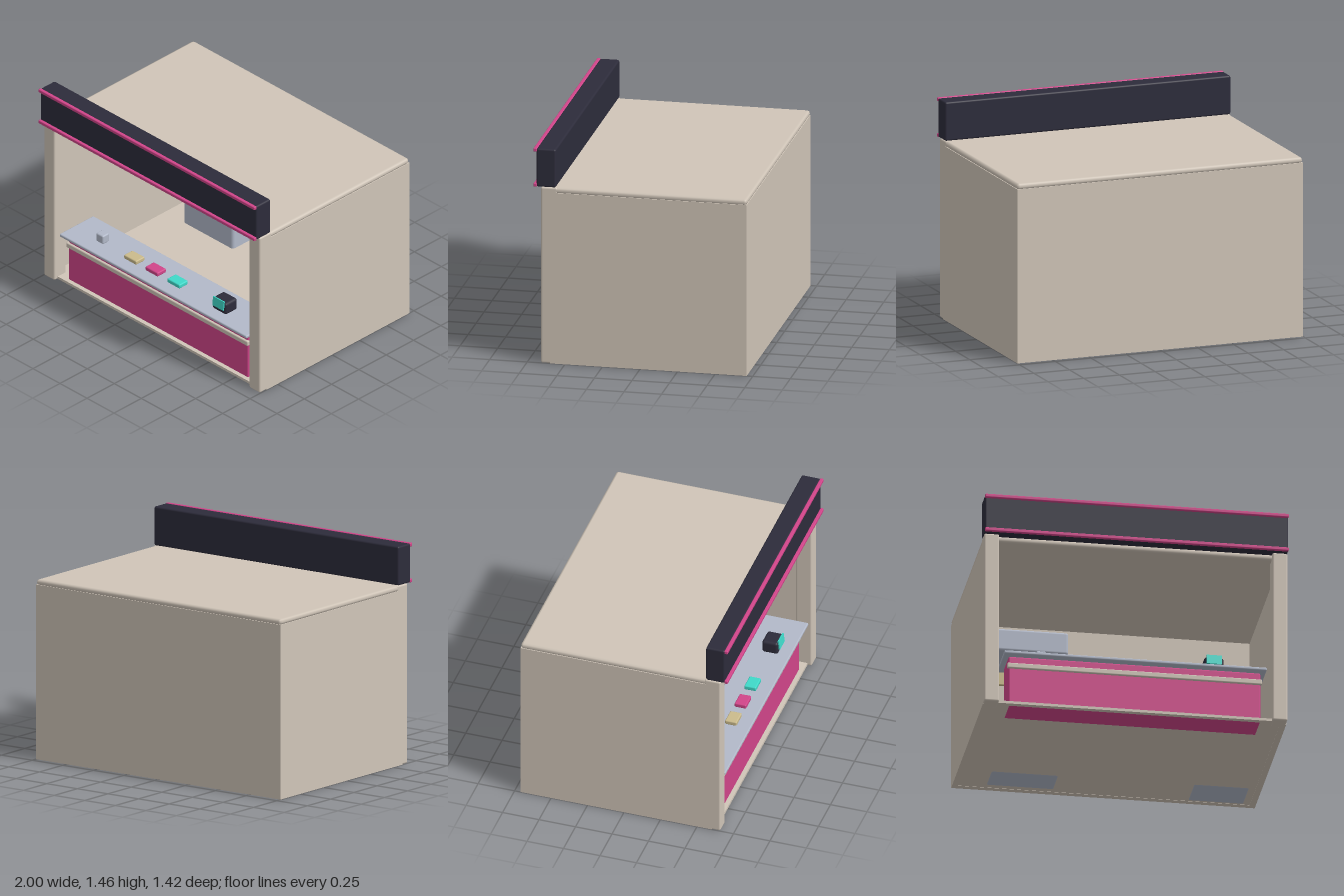
import * as THREE from 'three';
import { RoundedBoxGeometry } from 'three/addons/geometries/RoundedBoxGeometry.js';

const paint = (name, color) => {
  const m = new THREE.MeshStandardMaterial({ color });
  m.name = name;
  return m;
};

export function createModel() {
  const beige = paint('warm beige', 0xd0c5b8);
  const navy = paint('dark navy', 0x2d2c3b);
  const pink = paint('magenta pink', 0xd1458a);
  const steel = paint('pale steel', 0xb2b9c9);
  const glass = paint('cooler glass', 0x9bc9ce);
  const teal = paint('bright teal', 0x3fd9c9);
  const tan = paint('board tan', 0xcbbb8c);

  const kiosk = new THREE.Group();
  kiosk.name = 'marketKiosk';

  // Box given by its limits on each axis; r rounds the edges
  function box(name, mat, [x0, x1], [y0, y1], [z0, z1], r = 0, seg = 2) {
    const w = x1 - x0, h = y1 - y0, d = z1 - z0;
    const geo = r ? new RoundedBoxGeometry(w, h, d, seg, r) : new THREE.BoxGeometry(w, h, d);
    const mesh = new THREE.Mesh(geo, mat);
    mesh.name = name;
    mesh.position.set((x0 + x1) / 2, (y0 + y1) / 2, (z0 + z1) / 2);
    kiosk.add(mesh);
    return mesh;
  }

  // Shell
  box('floor', beige, [-0.99, 0.99], [0.002, 0.02], [-0.7, 0.63]);
  box('roof', beige, [-1, 1], [1.16, 1.2], [-0.71, 0.63], 0.019, 1);
  box('backWall', beige, [-0.96, 0.96], [0, 1.165], [-0.71, -0.67]);
  for (const s of [-1, 1]) {
    const span = (a, b) => (s > 0 ? [a, b] : [-b, -a]);
    box('sideWall', beige, span(0.96, 1), [0, 1.165], [-0.71, 0.6]);
    box('frontPillar', beige, span(0.9, 1), [0, 1.2], [0.55, 0.66], 0.012);
  }

  // Sign board with two trim rails
  box('signBoard', navy, [-1, 1], [1.2, 1.46], [0.56, 0.69], 0.012);
  for (const y of [1.198, 1.438]) {
    box('signTrim', pink, [-1, 1], [y, y + 0.024], [0.686, 0.71], 0.006);
  }

  // Serving counter
  box('counterBody', pink, [-0.83, 0.83], [0, 0.355], [0.4, 0.6], 0.01);
  box('counterBand', beige, [-0.84, 0.84], [0.268, 0.305], [0.59, 0.615], 0.008);
  box('counterTop', steel, [-0.865, 0.865], [0.354, 0.376], [0.34, 0.65], 0.008);

  // Things on the counter
  box('cup', steel, [-0.637, -0.573], [0.375, 0.438], [0.48, 0.54], 0.01);
  [[-0.36, tan], [-0.162, pink], [0.04, teal]].forEach(([x, mat]) =>
    box('snackTray', mat, [x, x + 0.115], [0.375, 0.405], [0.48, 0.56], 0.008));
  box('cashRegister', navy, [0.465, 0.595], [0.375, 0.462], [0.46, 0.57], 0.018);
  const screen = box('registerScreen', teal, [0.48, 0.58], [0.41, 0.475], [0.568, 0.577]);
  screen.rotation.x = -0.12;

  // Menu boards on the back wall
  for (const x of [-0.535, 0, 0.53]) {
    box('menuBoard', tan, [x - 0.234, x + 0.234], [0.737, 0.973], [-0.675, -0.652], 0.006);
  }

  // Cooking station, extractor hood and drinks cooler
  box('cookingStation', steel, [-0.79, -0.33], [0, 0.3], [-0.64, -0.41], 0.02);
  box('extractorHood', steel, [-0.8, -0.272], [0.877, 1.035], [-0.66, -0.42], 0.018);
  box('coolerCabinet', steel, [0.55, 0.92], [0, 0.667], [-0.66, -0.41], 0.012);
  box('coolerDoor', glass, [0.562, 0.908], [0.07, 0.65], [-0.411, -0.403]);

  return kiosk;
}
